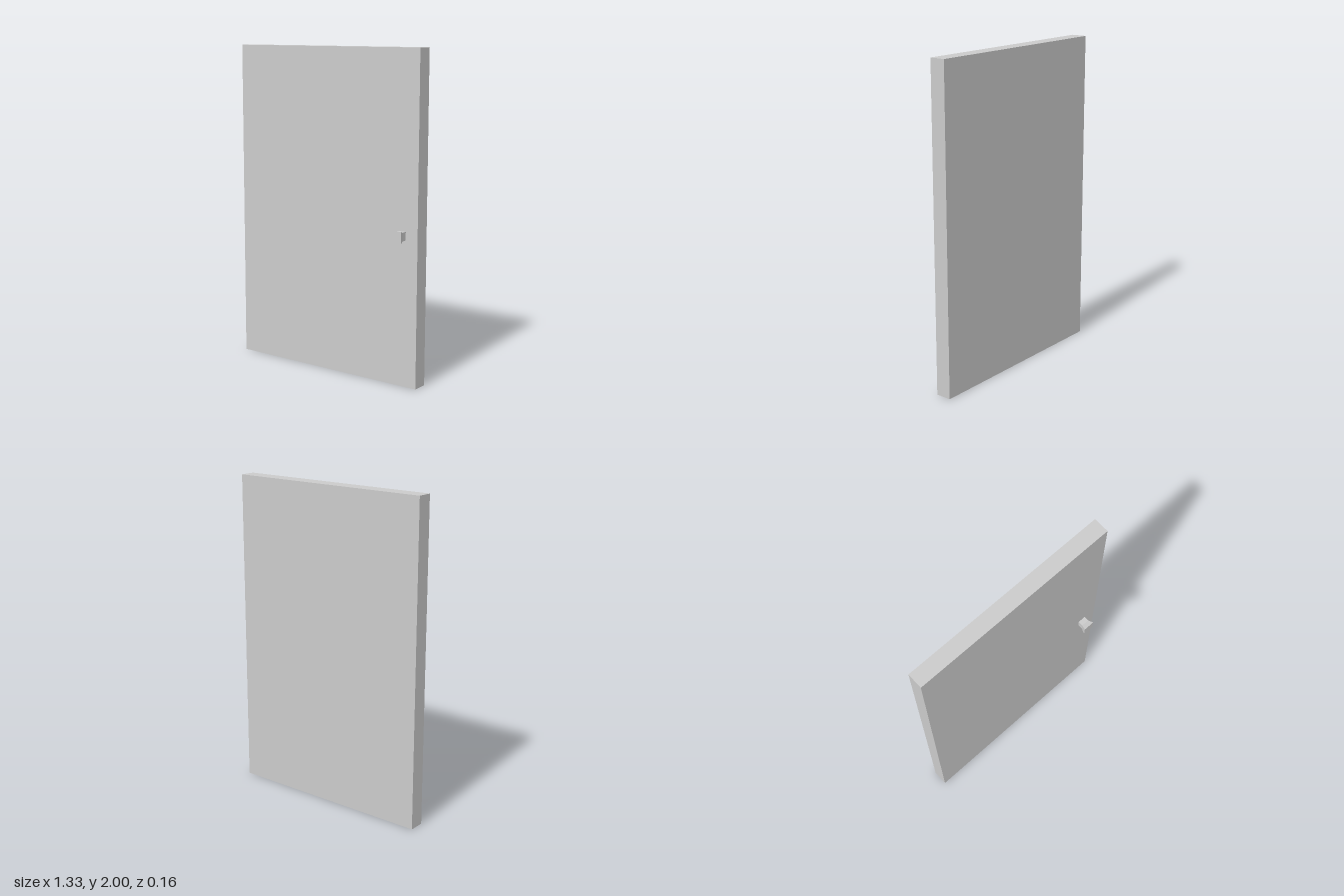
import * as THREE from 'three';

const material = new THREE.MeshStandardMaterial({ color: 0xcccccc, flatShading: true });

// Square frustum running along z from z0 to z1, with side lengths s0 and s1
function squareFrustum(name, s0, s1, z0, z1) {
  const geometry = new THREE.CylinderGeometry(s1 * Math.SQRT1_2, s0 * Math.SQRT1_2, z1 - z0, 4)
    .rotateY(Math.PI / 4)
    .rotateX(Math.PI / 2)
    .translate(0, 0, (z0 + z1) / 2);
  const mesh = new THREE.Mesh(geometry, material);
  mesh.name = name;
  return mesh;
}

export function createModel() {
  const door = new THREE.Group();
  door.name = 'door';

  // Door slab
  const front = 0.016, back = -0.082;
  const slab = new THREE.Mesh(new THREE.BoxGeometry(1.326, 2, front - back), material);
  slab.name = 'slab';
  slab.position.set(0, 1, (front + back) / 2);
  door.add(slab);

  // Knob: straight square stem, then a flared square grip
  const knob = new THREE.Group();
  knob.name = 'knob';
  knob.position.set(0.556, 0.915, 0);
  knob.add(
    squareFrustum('knobStem', 0.051, 0.051, front, 0.048),
    squareFrustum('knobGrip', 0.051, 0.072, 0.048, 0.082),
  );
  door.add(knob);

  return door;
}
